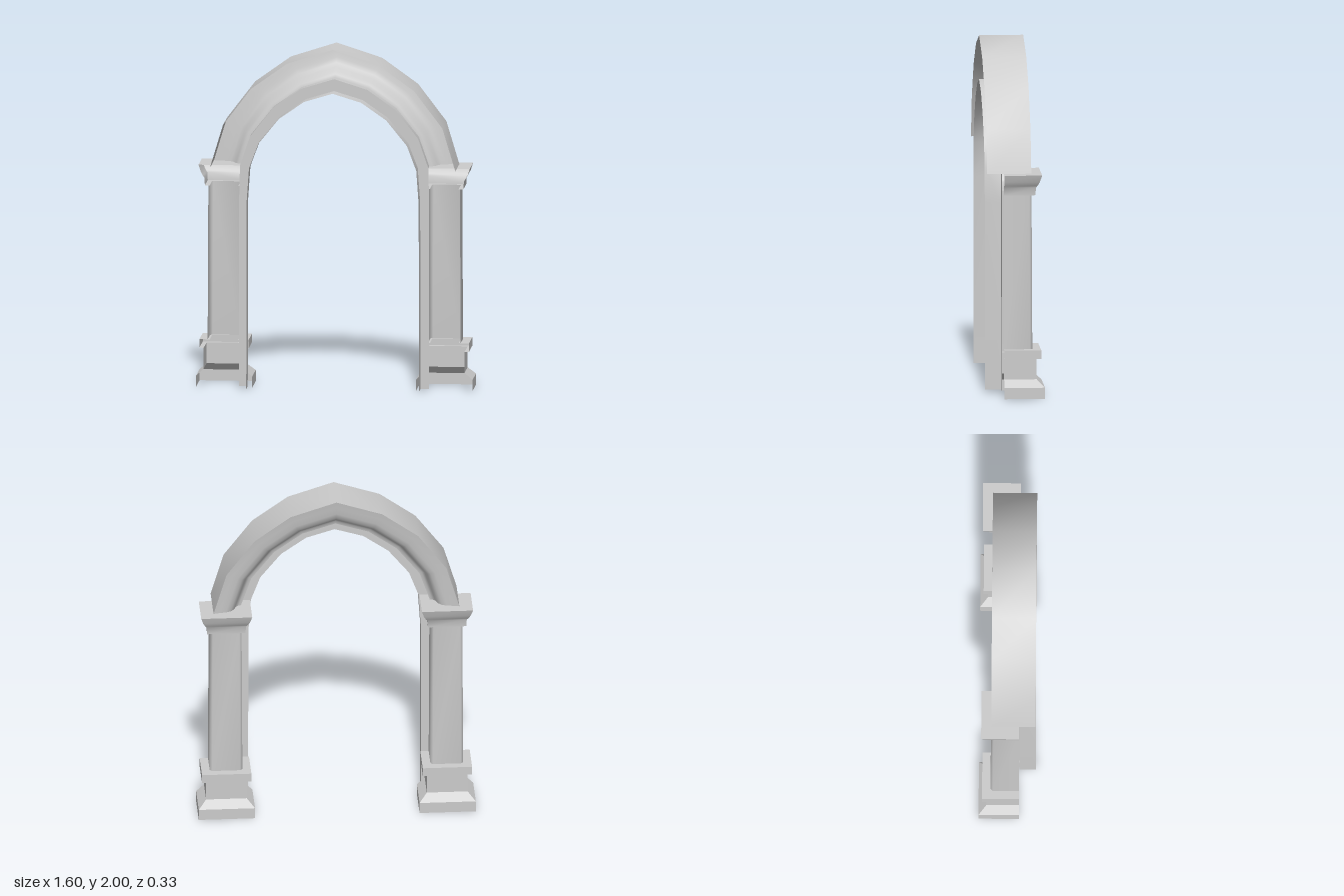
import * as THREE from 'three';
import { toCreasedNormals } from 'three/addons/utils/BufferGeometryUtils.js';

const material = new THREE.MeshStandardMaterial({ color: 0xcccccc, side: THREE.DoubleSide });

// Skin a list of equally long cross-sections, creasing sharp corners
function loft(name, rows, crease) {
  const n = rows[0].length;
  const index = [];
  for (let i = 0; i < rows.length - 1; i++) {
    for (let j = 0; j < n - 1; j++) {
      const a = i * n + j, b = a + 1, c = a + n, d = c + 1;
      index.push(a, c, b, b, c, d);
    }
  }
  const geometry = new THREE.BufferGeometry();
  geometry.setAttribute('position', new THREE.Float32BufferAttribute(rows.flat(2), 3));
  geometry.setIndex(index);
  const mesh = new THREE.Mesh(toCreasedNormals(geometry, crease), material);
  mesh.name = name;
  return mesh;
}

// Pier outline, open at the front: o is the projection beyond the shaft
const FRONT = 0.07, BACK = -0.093, CENTRE = 0.6375, HALF = 0.0925;
function outline(y, o, bevel = 0) {
  const w = HALF + o, z = BACK - o;
  const side = [[w, FRONT], [w, z + bevel]];
  if (bevel) side.push([w - bevel, z]);
  const left = side.map(([x, zz]) => [-x, y, zz]);
  const right = side.map(([x, zz]) => [x, y, zz]).reverse();
  return [...left, ...right];
}

function createPier(name) {
  const pier = new THREE.Group();
  pier.name = name;
  const profile = (list) => list.map(([y, o]) => outline(y, o));
  // Stepped pedestal
  pier.add(loft('pedestal', profile([
    [0, 0.07], [0.065, 0.07], [0.108, 0.025], [0.23, 0.025],
    [0.23, 0.05], [0.28, 0.05], [0.28, -0.01],
  ]), 0.3));
  // Shaft with softened corners and a slight taper
  pier.add(loft('shaft', [outline(0.28, 0.002, 0.014), outline(1.18, -0.002, 0.014)], 0.9));
  // Capital with a hollow flare
  pier.add(loft('capital', profile([
    [1.18, -0.01], [1.18, 0.018], [1.225, 0.021], [1.237, 0.03],
    [1.26, 0.042], [1.3, 0.055],
  ]), 0.6));
  // Flat top of the capital
  const w = HALF + 0.055, z = BACK - 0.055;
  pier.add(loft('capitalTop', [
    [[-w, 1.3, z], [w, 1.3, z]], [[-w, 1.3, FRONT], [w, 1.3, FRONT]],
  ].map((r) => r.reverse()).reverse(), 0.3));
  return pier;
}

// Arch stations on the -x half: inner x, y and outer x, y
const jambHalf = [
  [0.5, 0.01, 0.685, 0.01],
  [0.498, 1.1, 0.69, 1.1],
];
const archHalf = [
  [0.484, 1.3, 0.71, 1.3],
  [0.43, 1.444, 0.635, 1.55],
  [0.31, 1.592, 0.472, 1.765],
  [0.165, 1.693, 0.265, 1.914],
];
const crown = [0, 1.743, 0, 2];

// Mirror the half path over the crown, then sweep a [t, z] section along it
function sweep(name, half, section, crease) {
  const leftSide = half.map(([ix, iy, ox, oy]) => [-ix, iy, -ox, oy]);
  const path = [...leftSide, crown, ...[...half].reverse()];
  const rows = path.map(([ix, iy, ox, oy]) => section.map(([t, z]) =>
    [ix + (ox - ix) * t, iy + (oy - iy) * t, z]));
  return loft(name, rows, crease);
}

export function createModel() {
  const model = new THREE.Group();
  model.name = 'archway';

  // Pair of piers
  for (const side of [-1, 1]) {
    const pier = createPier(side > 0 ? 'leftPier' : 'rightPier');
    pier.position.x = side * CENTRE;
    model.add(pier);
  }

  // Moulded arch ring, hollow at the front
  model.add(sweep('archMoulding', archHalf, [
    [1, 0.165], [1, -0.09], [0.84, -0.082], [0.68, -0.076], [0.56, -0.066],
    [0.47, -0.045], [0.41, -0.012], [0.34, 0.004], [0.27, 0.008], [0.27, FRONT],
  ], 0.8));

  // Stepped lining running up the jambs and round the arch
  model.add(sweep('innerLining', [...jambHalf, ...archHalf], [
    [0.27, FRONT], [0, FRONT], [0, 0.165],
  ], 0.8));

  return model;
}
